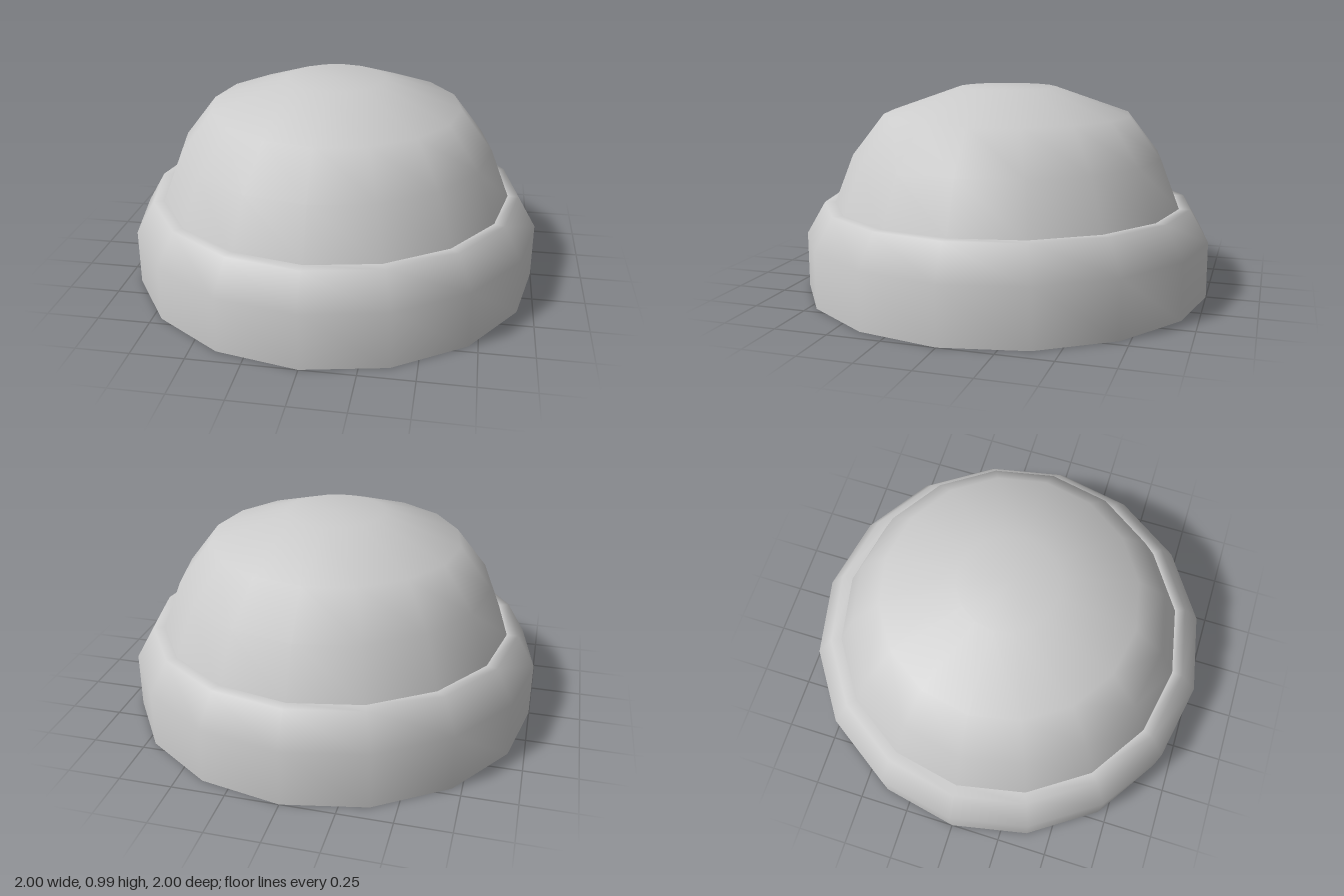
import * as THREE from 'three';

const SIDES = 16;

// Revolve a [radius, height] profile, listed from bottom to top.
function revolve(name, profile, material) {
  const points = profile.map(([r, y]) => new THREE.Vector2(r, y));
  const mesh = new THREE.Mesh(new THREE.LatheGeometry(points, SIDES), material);
  mesh.name = name;
  return mesh;
}

export function createModel() {
  const group = new THREE.Group();
  group.name = 'domedCap';
  const material = new THREE.MeshStandardMaterial({ color: 0xcccccc, side: THREE.DoubleSide });

  // Wide band, open underneath, with a bevelled shoulder and a narrow ledge
  group.add(revolve('rimBand', [[1, 0], [1, 0.27], [0.91, 0.425], [0.857, 0.425]], material));

  // Faceted dome rising from the ledge to a flat crown
  group.add(revolve('dome',
    [[0.857, 0.425], [0.765, 0.66], [0.61, 0.86], [0.24, 0.99], [0, 0.99]], material));

  return group;
}
